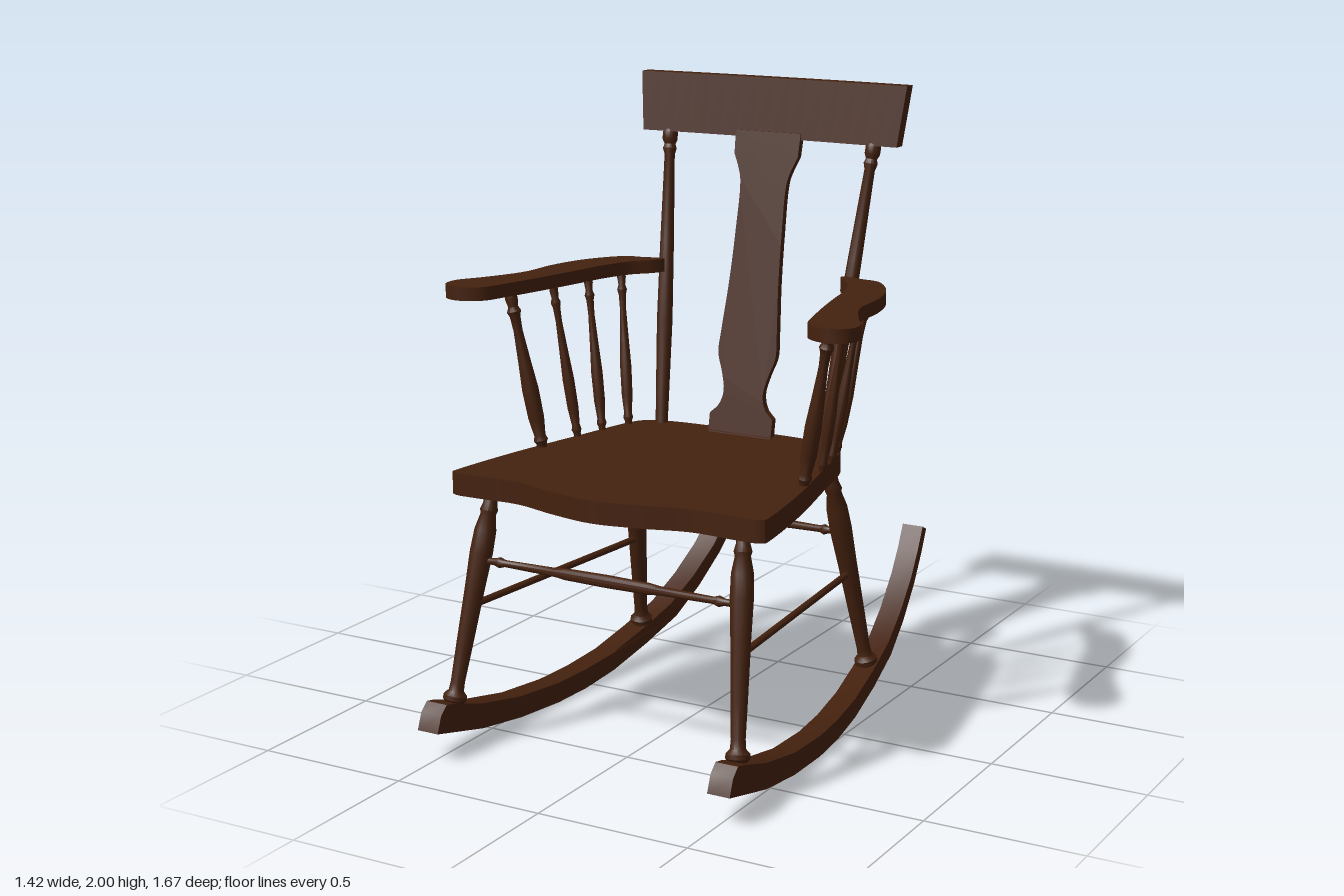
import * as THREE from 'three';
import { toCreasedNormals } from 'three/addons/utils/BufferGeometryUtils.js';

const wood = new THREE.MeshStandardMaterial({ color: 0x44210e });
wood.name = 'dark walnut';

const v = (p) => new THREE.Vector3(...p);
const mirrorX = ([x, y, z], s) => [x * s, y, z];

function add(group, name, geometry) {
  const mesh = new THREE.Mesh(geometry, wood);
  mesh.name = name;
  group.add(mesh);
  return mesh;
}

// Turned part from a to b; profile holds [fraction of length, radius]
function turned(group, name, a, b, profile) {
  const dir = v(b).sub(v(a)), len = dir.length();
  const pts = [[0, 0], ...profile, [1, 0]].map(([t, r]) => new THREE.Vector2(r, t * len));
  const mesh = add(group, name, toCreasedNormals(new THREE.LatheGeometry(pts, 14), 0.7));
  mesh.position.set(...a);
  mesh.quaternion.setFromUnitVectors(new THREE.Vector3(0, 1, 0), dir.normalize());
}

// Closed smooth outline through [x, z] points
function smoothOutline(points, divisions, tension = 0.5) {
  const curve = new THREE.CatmullRomCurve3(points.map(([x, z]) => new THREE.Vector3(x, -z, 0)), true, 'catmullrom', tension);
  return curve.getPoints(divisions).slice(0, -1).map((p) => new THREE.Vector2(p.x, p.y));
}

// Flat board lying between y0 and y1
function board(shape, y0, y1) {
  const g = new THREE.ExtrudeGeometry(shape, { depth: y1 - y0, bevelEnabled: false });
  g.rotateX(-Math.PI / 2).translate(0, y0, 0);
  return toCreasedNormals(g, 0.6);
}

const LEG = [[0, 0.024], [0.03, 0.024], [0.05, 0.037], [0.07, 0.037], [0.09, 0.024], [0.13, 0.022],
  [0.3, 0.026], [0.55, 0.031], [0.72, 0.036], [0.82, 0.034], [0.89, 0.024], [0.91, 0.028], [0.94, 0.022], [1, 0.02]];
const POST = [[0, 0.02], [0.1, 0.022], [0.35, 0.026], [0.6, 0.023], [0.9, 0.017], [0.92, 0.023], [0.935, 0.018],
  [0.95, 0.025], [0.975, 0.025], [0.985, 0.018], [1, 0.018]];
const SPINDLE = [[0, 0.012], [0.04, 0.014], [0.06, 0.019], [0.09, 0.015], [0.2, 0.021], [0.38, 0.022], [0.55, 0.017],
  [0.75, 0.012], [0.84, 0.014], [0.87, 0.019], [0.9, 0.013], [0.95, 0.017], [1, 0.012]];
const CROSSBAR = [[0, 0.01], [0.06, 0.011], [0.08, 0.017], [0.1, 0.011], [0.3, 0.014], [0.34, 0.018], [0.5, 0.02],
  [0.66, 0.018], [0.7, 0.014], [0.9, 0.011], [0.92, 0.017], [0.94, 0.011], [1, 0.01]];

function makeSeat(group) {
  const half = [[0.2, -0.26], [0.32, -0.24], [0.385, -0.18], [0.44, 0.05], [0.5, 0.32], [0.54, 0.58],
    [0.53, 0.63], [0.45, 0.635], [0.3, 0.63], [0.15, 0.67]];
  const both = (pts, back, front) =>
    [[0, back], ...pts, [0, front], ...pts.slice().reverse().map(([x, z]) => [-x, z])];
  const outline = smoothOutline(both(half, -0.265, 0.695), 110);
  const inner = smoothOutline(both(half.map(([x, z]) => [x * 0.9, 0.2 + (z - 0.2) * 0.88]), -0.21, 0.635), 110);
  add(group, 'seat', board(new THREE.Shape(outline), 0.8, 0.864));
  // Raised border around the shallow dished top
  const rim = new THREE.Shape(outline);
  rim.holes.push(new THREE.Path(inner));
  add(group, 'seatRim', board(rim, 0.864, 0.87));
}

function makeBack(group) {
  // Curved, leaning top rail, wider at its upper edge
  const rail = new THREE.BoxGeometry(2, 0.19, 0.042, 16, 1, 1);
  const p = rail.attributes.position;
  for (let i = 0; i < p.count; i++) {
    const x = p.getX(i), t = p.getY(i) / 0.19 + 0.5;
    p.setXYZ(i, x * (0.46 + 0.02 * t), 1.81 + 0.19 * t, p.getZ(i) - 0.427 - 0.028 * t + 0.013 * x * x);
  }
  add(group, 'topRail', toCreasedNormals(rail, 0.6));

  // Shaped centre splat, height measured from the seat
  const edge = [[0.115, 0.055], [0.085, 0.085], [0.072, 0.13], [0.085, 0.19], [0.105, 0.25], [0.102, 0.32],
    [0.09, 0.48], [0.084, 0.65], [0.084, 0.8], [0.095, 0.84], [0.115, 0.885]];
  const side = new THREE.CatmullRomCurve3(edge.map(([x, y]) => new THREE.Vector3(x, y, 0))).getPoints(40);
  const right = [new THREE.Vector2(0.115, -0.01), ...side.map((q) => new THREE.Vector2(q.x, q.y)), new THREE.Vector2(0.118, 0.96)];
  const left = right.slice().reverse().map((q) => new THREE.Vector2(-q.x, q.y));
  const g = new THREE.ExtrudeGeometry(new THREE.Shape([...right, ...left]), { depth: 0.024, bevelEnabled: false });
  g.translate(0, 0, -0.012);
  const q = g.attributes.position;
  for (let i = 0; i < q.count; i++) q.setZ(i, q.getZ(i) - 0.228 - 0.196 * q.getY(i));
  g.translate(0, 0.87, 0);
  add(group, 'backSplat', toCreasedNormals(g, 0.6));
}

function makeArm(group, s) {
  const outline = [[0.328, -0.3], [0.4, -0.285], [0.47, -0.265], [0.545, -0.155], [0.583, -0.02], [0.595, 0.13],
    [0.655, 0.265], [0.705, 0.35], [0.695, 0.42], [0.635, 0.445], [0.565, 0.41], [0.535, 0.33],
    [0.495, 0.18], [0.465, 0.05], [0.435, -0.09], [0.395, -0.19], [0.34, -0.255]];
  const shape = new THREE.Shape(smoothOutline(outline.map(([x, z]) => [x * s, z]), 80));
  add(group, 'armrest', board(shape, 1.362, 1.405));

  // Spindles as [bottom, top, thickness], front to back
  const spindles = [
    [[0.465, 0.86, 0.235], [0.562, 1.37, 0.262], 1.2],
    [[0.44, 0.86, 0.065], [0.522, 1.37, 0.077], 0.85],
    [[0.415, 0.86, -0.045], [0.492, 1.37, -0.087], 0.85],
    [[0.38, 0.86, -0.152], [0.45, 1.37, -0.227], 0.85],
  ];
  for (const [a, b, k] of spindles)
    turned(group, 'armSpindle', mirrorX(a, s), mirrorX(b, s), SPINDLE.map(([t, r]) => [t, r * k]));
}

function makeRocker(group, s) {
  // Side outline as [z, y]: underside from front to back, then top
  const under = [[0.835, 0.098], [0.6, 0.04], [0.4, 0.012], [0.2, 0], [0.05, 0.004], [-0.1, 0.022], [-0.28, 0.065],
    [-0.45, 0.118], [-0.58, 0.195], [-0.7, 0.29], [-0.78, 0.375], [-0.835, 0.445]];
  const top = [[-0.79, 0.465], [-0.735, 0.395], [-0.66, 0.32], [-0.55, 0.24], [-0.42, 0.17], [-0.27, 0.125],
    [-0.1, 0.085], [0.05, 0.07], [0.2, 0.067], [0.4, 0.083], [0.6, 0.123], [0.75, 0.17], [0.785, 0.177], [0.815, 0.15]];
  const shape = new THREE.Shape([...under, ...top].map(([z, y]) => new THREE.Vector2(z, y)));
  const g = new THREE.ExtrudeGeometry(shape, { depth: 0.074, bevelEnabled: false });
  g.translate(0, 0, -0.037).rotateY(-Math.PI / 2);
  // Runners curve towards each other at the rear
  const p = g.attributes.position;
  for (let i = 0; i < p.count; i++) {
    const t = Math.max(0, (0.835 - p.getZ(i)) / 1.67);
    p.setX(i, p.getX(i) + s * (0.508 - 0.152 * Math.pow(t, 1.7)));
  }
  add(group, 'rocker', toCreasedNormals(g, 0.5));
}

export function createModel() {
  const chair = new THREE.Group();
  chair.name = 'rockingChair';
  makeSeat(chair);
  makeBack(chair);

  for (const s of [1, -1]) {
    const half = new THREE.Group();
    half.name = s > 0 ? 'leftSide' : 'rightSide';
    chair.add(half);
    makeArm(half, s);
    makeRocker(half, s);
    turned(half, 'backPost', mirrorX([0.3, 0.86, -0.23], s), mirrorX([0.372, 1.83, -0.42], s), POST);
    turned(half, 'frontLeg', mirrorX([0.502, 0.13, 0.71], s), mirrorX([0.438, 0.81, 0.56], s), LEG);
    turned(half, 'rearLeg', mirrorX([0.43, 0.1, -0.312], s), mirrorX([0.362, 0.81, -0.15], s), LEG);
    turned(half, 'sideStretcher', mirrorX([0.471, 0.455, 0.638], s), mirrorX([0.396, 0.455, -0.23], s),
      [[0, 0.011], [1, 0.011]]);
  }

  // Crossbars between the front legs and between the rear legs
  turned(chair, 'frontCrossbar', [-0.457, 0.597, 0.607], [0.457, 0.597, 0.607], CROSSBAR);
  turned(chair, 'rearCrossbar', [-0.382, 0.597, -0.2], [0.382, 0.597, -0.2], CROSSBAR);
  return chair;
}
